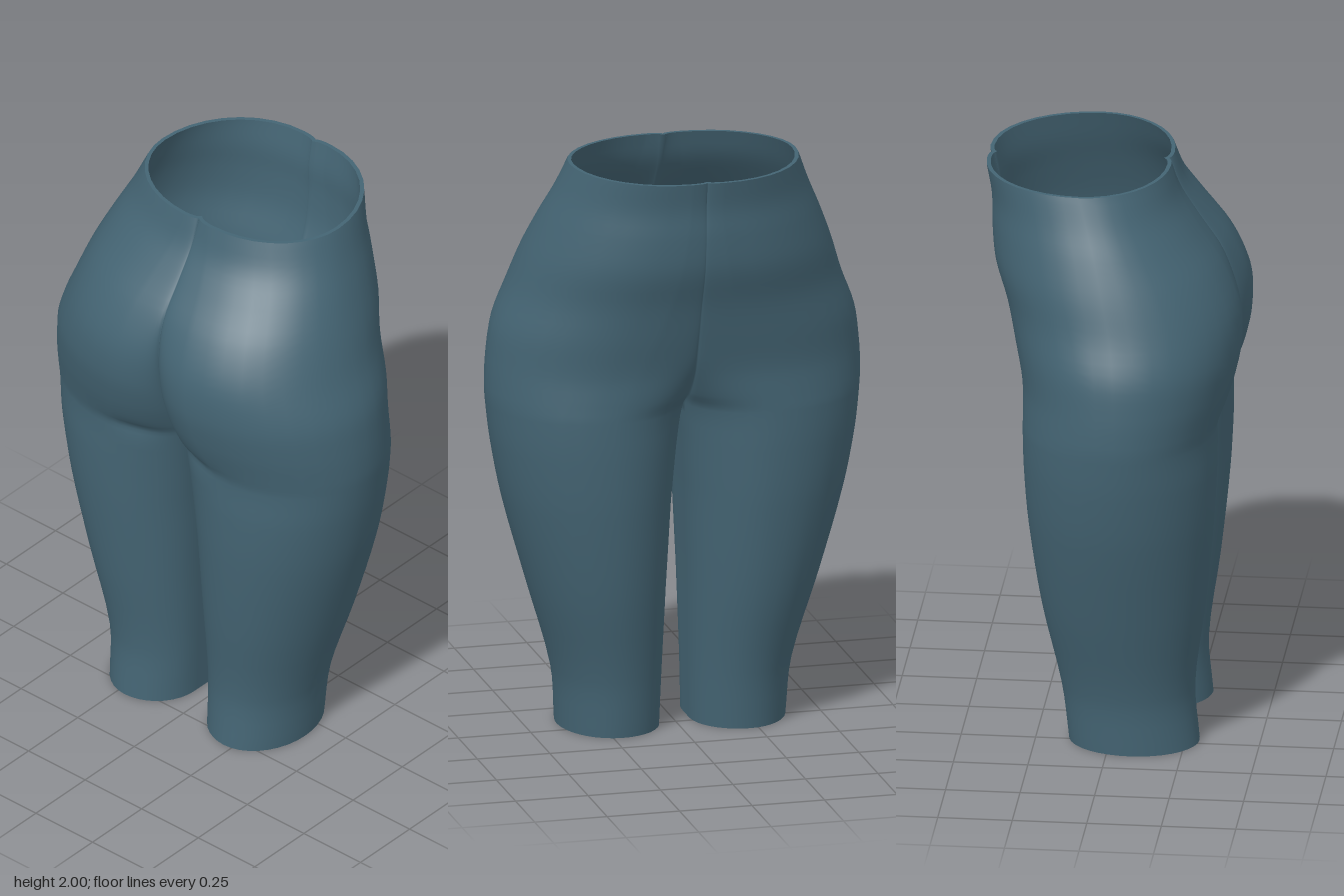
import * as THREE from 'three';
import { mergeVertices } from 'three/addons/utils/BufferGeometryUtils.js';

// Half cross-sections: y, side x, inner x, side z,
// back peak x, back peak z, back centre z, front peak x, front peak z, front centre z
const LEVELS = [
  [0.00, 0.39, 0.055, 0.08, 0.22, 0.297, 0.13, 0.22, -0.14, 0.03],
  [0.20, 0.408, 0.05, 0.07, 0.22, 0.282, 0.13, 0.22, -0.165, 0.02],
  [0.50, 0.495, 0.042, 0.05, 0.25, 0.32, 0.14, 0.25, -0.228, 0.00],
  [0.80, 0.58, 0.03, 0.045, 0.27, 0.35, 0.15, 0.27, -0.27, -0.02],
  [1.00, 0.62, 0.015, 0.045, 0.27, 0.36, 0.17, 0.28, -0.285, -0.04],
  [1.14, 0.637, 0, 0.05, 0.24, 0.362, 0.19, 0.28, -0.289, -0.07],
  [1.20, 0.64, 0, 0.05, 0.22, 0.378, 0.235, 0.26, -0.29, -0.165],
  [1.30, 0.635, 0, 0.05, 0.19, 0.41, 0.30, 0.22, -0.295, -0.255],
  [1.42, 0.617, 0, 0.045, 0.17, 0.433, 0.345, 0.17, -0.322, -0.305],
  [1.55, 0.567, 0, 0.03, 0.16, 0.425, 0.367, 0.12, -0.355, -0.345],
  [1.68, 0.523, 0, 0.0, 0.14, 0.37, 0.35, 0.09, -0.398, -0.39],
  [1.80, 0.475, 0, -0.03, 0.11, 0.285, 0.275, 0.07, -0.412, -0.405],
  [1.90, 0.43, 0, -0.06, 0.08, 0.22, 0.212, 0.06, -0.415, -0.405],
  [2.00, 0.39, 0, -0.09, 0.06, 0.185, 0.168, 0.06, -0.433, -0.42],
];
const CROTCH = 5, STEPS = 4, Q = 9, INNER = 8, THICKNESS = 0.014;

// Smooth blend between two neighbouring levels
function blend(j, t) {
  const at = (k) => LEVELS[Math.min(Math.max(k, 0), LEVELS.length - 1)];
  const p = at(j - 1), a = at(j), b = at(j + 1), n = at(j + 2), h = b[0] - a[0];
  return a.map((v, i) => {
    if (i === 0 || i === 2) return v + (b[i] - v) * t;
    const ma = h * (b[i] - p[i]) / (b[0] - p[0]);
    const mb = h * (n[i] - v) / (n[0] - a[0]);
    const t2 = t * t, t3 = t2 * t;
    return (2 * t3 - 3 * t2 + 1) * v + (t3 - 2 * t2 + t) * ma + (3 * t2 - 2 * t3) * b[i] + (t3 - t2) * mb;
  });
}

// Four elliptical quarters from back centre around the side to front centre, then the inner thigh
function section([y, w, xi, zs, px, zb, zbC, qx, zf, zfC], withInner) {
  const pts = [];
  for (let i = 0; i <= 4 * Q; i++) {
    const part = Math.min(Math.floor(i / Q), 3), a = (i / Q - part) * Math.PI / 2;
    const s = Math.sin(a), c = Math.cos(a);
    let x, z;
    if (part === 0) { x = xi + (px - xi) * (1 - c); z = zbC + (zb - zbC) * s; }
    if (part === 1) { x = px + (w - px) * s; z = zs + (zb - zs) * c; }
    if (part === 2) { x = qx + (w - qx) * c; z = zs + (zf - zs) * s; }
    if (part === 3) { x = xi + (qx - xi) * (1 - s); z = zfC + (zf - zfC) * c; }
    // crease under the seat
    if (part < 2) z -= 0.016 * Math.exp(-(((y - 1.165) / 0.03) ** 2) - ((x - 0.13) / 0.1) ** 2);
    pts.push([i === 4 * Q ? xi : x, y, z]);
  }
  if (withInner) {
    const front = pts[4 * Q][2], back = pts[0][2];
    for (let i = 1; i <= INNER; i++) pts.push([xi, y, front + (back - front) * i / INNER]);
  }
  return pts;
}

// Mirrored skin covering hips and both legs, welded along the centre
function buildShell() {
  const pos = [], index = [];
  const loft = (from, to, inner) => {
    const rows = [];
    for (let j = from; j < to; j++) {
      for (let k = 0; k < STEPS; k++) rows.push(section(blend(j, k / STEPS), inner));
    }
    rows.push(section(LEVELS[to], inner));
    const n = rows[0].length;
    for (const side of [1, -1]) {
      const start = pos.length / 3;
      rows.flat().forEach(([x, y, z]) => pos.push(x * side, y, z));
      for (let r = 0; r < rows.length - 1; r++) {
        for (let i = 0; i < n - 1; i++) {
          const a = start + r * n + i, b = a + 1, c = b + n, d = a + n;
          if (side > 0) index.push(a, b, c, a, c, d);
          else index.push(a, c, b, a, d, c);
        }
      }
    }
  };
  loft(0, CROTCH, true);
  loft(CROTCH, LEVELS.length - 1, false);
  const geo = new THREE.BufferGeometry();
  geo.setAttribute('position', new THREE.Float32BufferAttribute(pos, 3));
  geo.setIndex(index);
  const welded = mergeVertices(geo, 1e-4);
  welded.computeVertexNormals();
  return welded;
}

// Inward offset copy with reversed faces
function buildLining(shell) {
  const geo = shell.clone(), p = geo.attributes.position, n = shell.attributes.normal;
  for (let i = 0; i < p.count; i++) {
    p.setXYZ(i, p.getX(i) - n.getX(i) * THICKNESS, p.getY(i), p.getZ(i) - n.getZ(i) * THICKNESS);
  }
  geo.setIndex(Array.from(shell.index.array).reverse());
  geo.computeVertexNormals();
  return geo;
}

// Flat rims joining the open edges of shell and lining
function buildHems(shell, lining) {
  const idx = shell.index.array, edges = new Set(), pos = [];
  const each = (fn) => {
    for (let i = 0; i < idx.length; i += 3) {
      for (let k = 0; k < 3; k++) fn(idx[i + k], idx[i + (k + 1) % 3]);
    }
  };
  const put = (geo, i) => {
    const p = geo.attributes.position;
    pos.push(p.getX(i), p.getY(i), p.getZ(i));
  };
  each((a, b) => edges.add(a + '_' + b));
  each((a, b) => {
    if (edges.has(b + '_' + a)) return;
    put(shell, b); put(shell, a); put(lining, a);
    put(shell, b); put(lining, a); put(lining, b);
  });
  const geo = new THREE.BufferGeometry();
  geo.setAttribute('position', new THREE.Float32BufferAttribute(pos, 3));
  geo.computeVertexNormals();
  return geo;
}

export function createModel() {
  const fabric = new THREE.MeshStandardMaterial({ color: 0x446473 });
  fabric.name = 'slate blue fabric';
  const model = new THREE.Group();
  model.name = 'trousers';
  const add = (name, geo) => {
    const mesh = new THREE.Mesh(geo, fabric);
    mesh.name = name;
    model.add(mesh);
  };
  const shell = buildShell(), lining = buildLining(shell);
  add('outerFabric', shell);
  add('innerLining', lining);
  add('waistAndLegHems', buildHems(shell, lining));
  return model;
}
